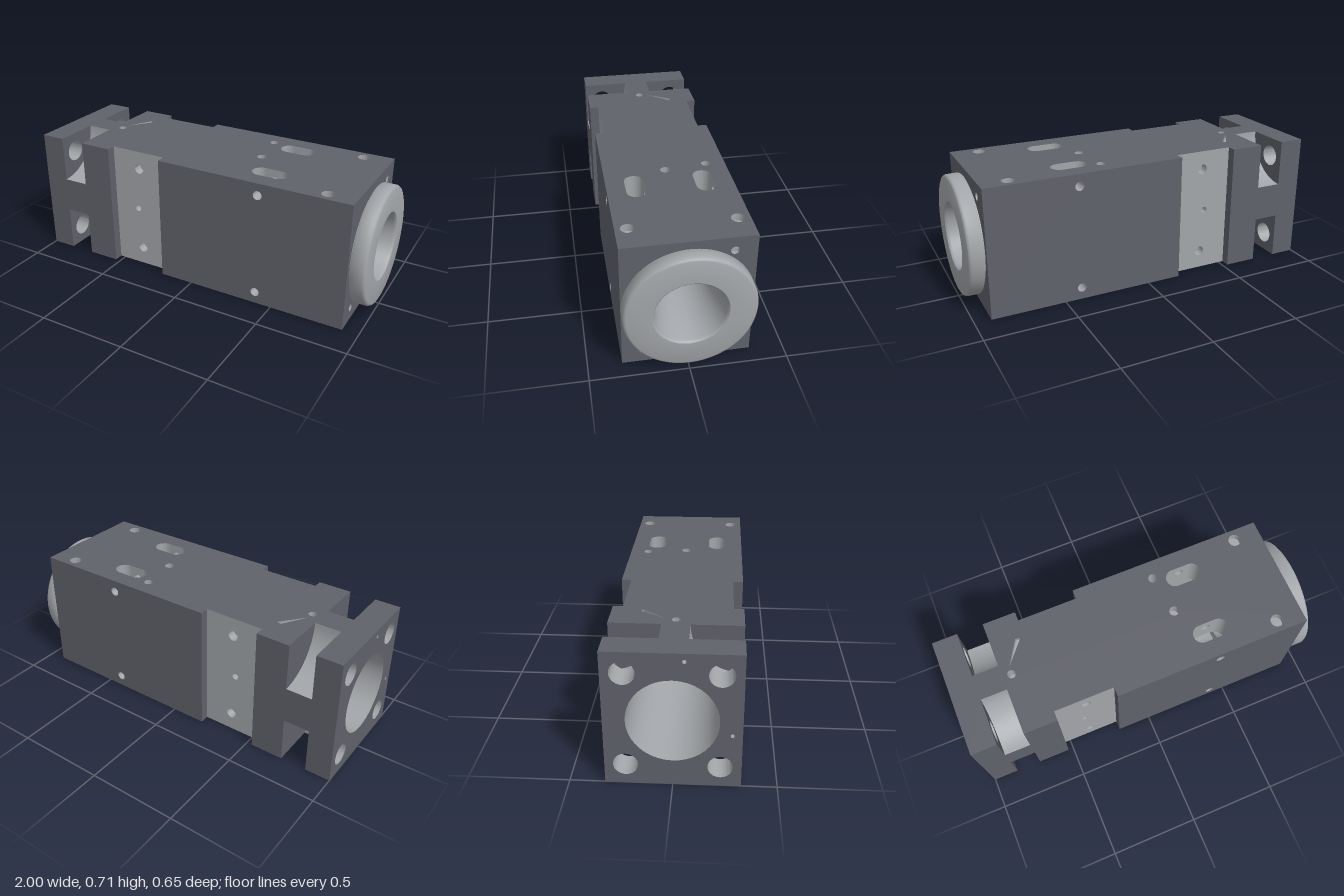
import * as THREE from 'three';
import { toCreasedNormals } from 'three/addons/utils/BufferGeometryUtils.js';

const W = 0.327, H = 0.3575;          // half depth, half height of the block
const BORE = 0.22, NOTCH = 0.257, WAIST = 0.275;
const SIGNS = [-1, 1];

const dark = new THREE.MeshStandardMaterial({ color: 0x60626a, side: THREE.DoubleSide });
const light = new THREE.MeshStandardMaterial({ color: 0xa3a6aa, side: THREE.DoubleSide });

// Outlines are lists of [a, b]: (x, y) for axis z, (x, z) for axis y, (z, y) for axis x
const arc = (a, b, r, from = 0, to = Math.PI * 2, n = 40) =>
  Array.from({ length: n + 1 }, (_, i) => {
    const t = from + (to - from) * i / n;
    return [a + r * Math.cos(t), b + r * Math.sin(t)];
  });
const circle = (a, b, r) => arc(a, b, r).slice(0, -1);
const rect = (a0, b0, a1, b1) => [[a0, b0], [a1, b0], [a1, b1], [a0, b1]];

// Turn a geometry whose local z is depth so that depth runs along the axis
function turn(geo, axis) {
  if (axis === 'y') geo.rotateX(Math.PI / 2);
  if (axis === 'x') geo.rotateY(-Math.PI / 2);
  return geo;
}

export function createModel() {
  const model = new THREE.Group();
  const body = new THREE.Group();
  body.name = 'spindleHousing';
  body.position.y = H;
  model.add(body);

  const add = (name, geo, mat) => {
    const m = new THREE.Mesh(geo, mat);
    m.name = name;
    body.add(m);
  };
  const vecs = (pts) => pts.map(([a, b]) => new THREE.Vector2(a, b));
  // Flat face with holes
  function face(name, axis, d, outline, holes = [], mat = dark) {
    const shape = new THREE.Shape(vecs(outline));
    holes.forEach((h) => shape.holes.push(new THREE.Path(vecs(h))));
    const geo = new THREE.ShapeGeometry(shape);
    geo.translate(0, 0, axis === 'z' ? d : -d);
    add(name, turn(geo, axis), mat);
  }
  // Wall that follows a line of points from depth d0 to d1
  function wall(name, axis, d0, d1, pts, mat = light) {
    const s = axis === 'z' ? 1 : -1, pos = [], idx = [];
    pts.forEach(([a, b], i) => {
      pos.push(a, b, s * d0, a, b, s * d1);
      const k = 2 * i;
      if (i) idx.push(k - 2, k, k - 1, k, k + 1, k - 1);
    });
    const geo = new THREE.BufferGeometry();
    geo.setAttribute('position', new THREE.Float32BufferAttribute(pos, 3));
    geo.setIndex(idx);
    geo.computeVertexNormals();
    add(name, turn(toCreasedNormals(geo, 0.6), axis), mat);
  }
  const hole = (name, axis, d0, d1, a, b, r) => wall(name, axis, d0, d1, arc(a, b, r));
  function blindHole(name, axis, d0, d1, a, b, r) {
    hole(name, axis, d0, d1, a, b, r);
    face(name + 'Floor', axis, d1, circle(a, b, r), [], light);
  }

  // Top and bottom faces with slots, screw holes and the oil groove
  const half = [[-1, W], [-0.86, W], [-0.86, W - NOTCH], [-0.715, W - NOTCH], [-0.715, W],
    [-0.53, W], [-0.53, WAIST], [-0.195, WAIST], [-0.195, W], [0.91, W]];
  const plan = [...half, ...half.map(([x, z]) => [x, -z]).reverse()];
  const slot = (z) => [...arc(0.355, z, 0.05, Math.PI / 2, Math.PI * 1.5, 16),
    ...arc(0.455, z, 0.05, -Math.PI / 2, Math.PI / 2, 16)];
  const common = [slot(0.18), slot(-0.18), circle(0.24, -0.225, 0.025),
    circle(0.76, 0.265, 0.035), circle(0.76, -0.265, 0.035)];
  const groove = [[-0.665, -0.04], [-0.58, -0.18], [-0.555, -0.172]];
  face('topFace', 'y', H, plan,
    [...common, circle(0.27, 0, 0.027), circle(-0.665, 0, 0.023), groove]);
  face('bottomFace', 'y', -H, plan, common);
  wall('oilGroove', 'y', H, H - 0.02, [...groove, groove[0]]);
  face('oilGrooveFloor', 'y', H - 0.02, groove, [], light);
  blindHole('oilHole', 'y', H, H - 0.08, -0.665, 0, 0.023);
  blindHole('topPort', 'y', H, H - 0.06, 0.27, 0, 0.027);
  hole('verticalHole', 'y', -H, H, 0.24, -0.225, 0.025);

  // End faces
  const bolts = SIGNS.flatMap((sz) => SIGNS.map((sy) => [sz * 0.225, sy * 0.25]));
  const pins = [[0.056, 0.317], [0.28, -0.07]];
  const screws = [[-0.217, 0.283], [0.22, -0.283]];
  const end = rect(-W, -H, W, H);
  face('mountingFace', 'x', -1, end, [circle(0, 0, BORE),
    ...bolts.map(([z, y]) => circle(z, y, 0.06)), ...pins.map(([z, y]) => circle(z, y, 0.01))]);
  face('noseFace', 'x', 0.91, end, [circle(0, 0, 0.25),
    ...screws.map(([z, y]) => circle(z, y, 0.021))]);
  pins.forEach(([z, y]) => blindHole('pinHole', 'x', -1, -0.96, z, y, 0.01));
  screws.forEach(([z, y]) => blindHole('noseScrewHole', 'x', 0.91, 0.89, z, y, 0.021));

  // Corner notches: quarter-round cuts with a bolt hole through the flange
  for (const sz of SIGNS) for (const sy of SIGNS) {
    const q = arc(0, 0, NOTCH, 0, Math.PI / 2, 24)
      .map(([a, b]) => [sz * (W - a), sy * (H - b)]);
    const sector = [[sz * W, sy * H], ...q];
    wall('notchCurve', 'x', -0.86, -0.715, q);
    face('notchFlangeSide', 'x', -0.86, sector, [circle(sz * 0.225, sy * 0.25, 0.06)]);
    face('notchBodySide', 'x', -0.715, sector);
    hole('boltHole', 'x', -1, -0.86, sz * 0.225, sy * 0.25, 0.06);
  }

  // Front and back sides
  const n = H - NOTCH;
  const flange = [[-1, -H], [-0.86, -H], [-0.86, -n], [-0.715, -n], [-0.715, -H], [-0.53, -H],
    [-0.53, H], [-0.715, H], [-0.715, n], [-0.86, n], [-0.86, H], [-1, H]];
  const crossHoles = SIGNS.map((s) => circle(0.405, s * 0.29, 0.025));
  const waistHoles = [[-0.36, 0.253, 0.028], [-0.36, -0.253, 0.028], [-0.38, 0.003, 0.018]];
  for (const s of SIGNS) {
    face('flangeSide', 'z', s * W, flange);
    face('bodySide', 'z', s * W, rect(-0.195, -H, 0.91, H), crossHoles);
    face('waistSide', 'z', s * WAIST, rect(-0.53, -H, -0.195, H),
      waistHoles.map((h) => circle(...h)), light);
    for (const x of [-0.53, -0.195])
      face('waistStep', 'x', x, rect(s * WAIST, -H, s * W, H));
    waistHoles.forEach((h) =>
      blindHole('waistHole', 'z', s * WAIST, s * (WAIST - 0.05), ...h));

    // Long slots, open to the bore and crossed by the cross holes
    face('slotOuterSide', 'z', s * 0.23, rect(0.355, -H, 0.455, H), crossHoles, light);
    for (const x of [0.305, 0.455])
      face('slotOuterEnd', 'z', s * 0.23, rect(x, -0.17, x + 0.05, 0.17), [], light);
    for (const v of SIGNS) {
      face('slotInnerSide', 'z', s * 0.13, rect(0.355, v * 0.177, 0.455, v * H),
        [circle(0.405, v * 0.29, 0.025)], light);
      wall('slotEnd', 'y', v * H, v * 0.165, slot(s * 0.18).slice(0, 17));
      wall('slotEnd', 'y', v * H, v * 0.165, slot(s * 0.18).slice(17));
      hole('crossHole', 'z', s * 0.23, s * W, 0.405, v * 0.29, 0.025);
      blindHole('plugHole', 'y', v * H, v * (H - 0.04), 0.76, s * 0.265, 0.035);
    }
  }

  // Main bore, cut away where the slots pass
  wall('mainBore', 'x', -1, 0.305, arc(0, 0, BORE, 0, Math.PI * 2, 64));
  wall('boreInnerEnd', 'x', 0.505, 0.55, arc(0, 0, BORE, 0, Math.PI * 2, 64));
  const open = Math.asin(0.13 / BORE);
  for (const v of SIGNS) {
    wall('boreRib', 'x', 0.305, 0.505,
      arc(0, 0, BORE, v * Math.PI / 2 - open, v * Math.PI / 2 + open, 16));
    hole('crossHoleMiddle', 'z', -0.13, 0.13, 0.405, v * 0.29, 0.025);
  }

  // Spindle nose ring with its tapered hole
  const profile = [[BORE, 0.55], [0.145, 0.55], [0.145, 0.77], [0.177, 0.985], [0.18, 0.994],
    [0.187, 1], [0.312, 1], [0.321, 0.996], [0.327, 0.985], [0.327, 0.924], [0.323, 0.919],
    [0.3, 0.919], [0.3, 0.91], [0.25, 0.91]];
  const nose = new THREE.LatheGeometry(vecs(profile), 96);
  nose.rotateZ(-Math.PI / 2);
  add('spindleNose', toCreasedNormals(nose, 0.7), light);

  return model;
}
